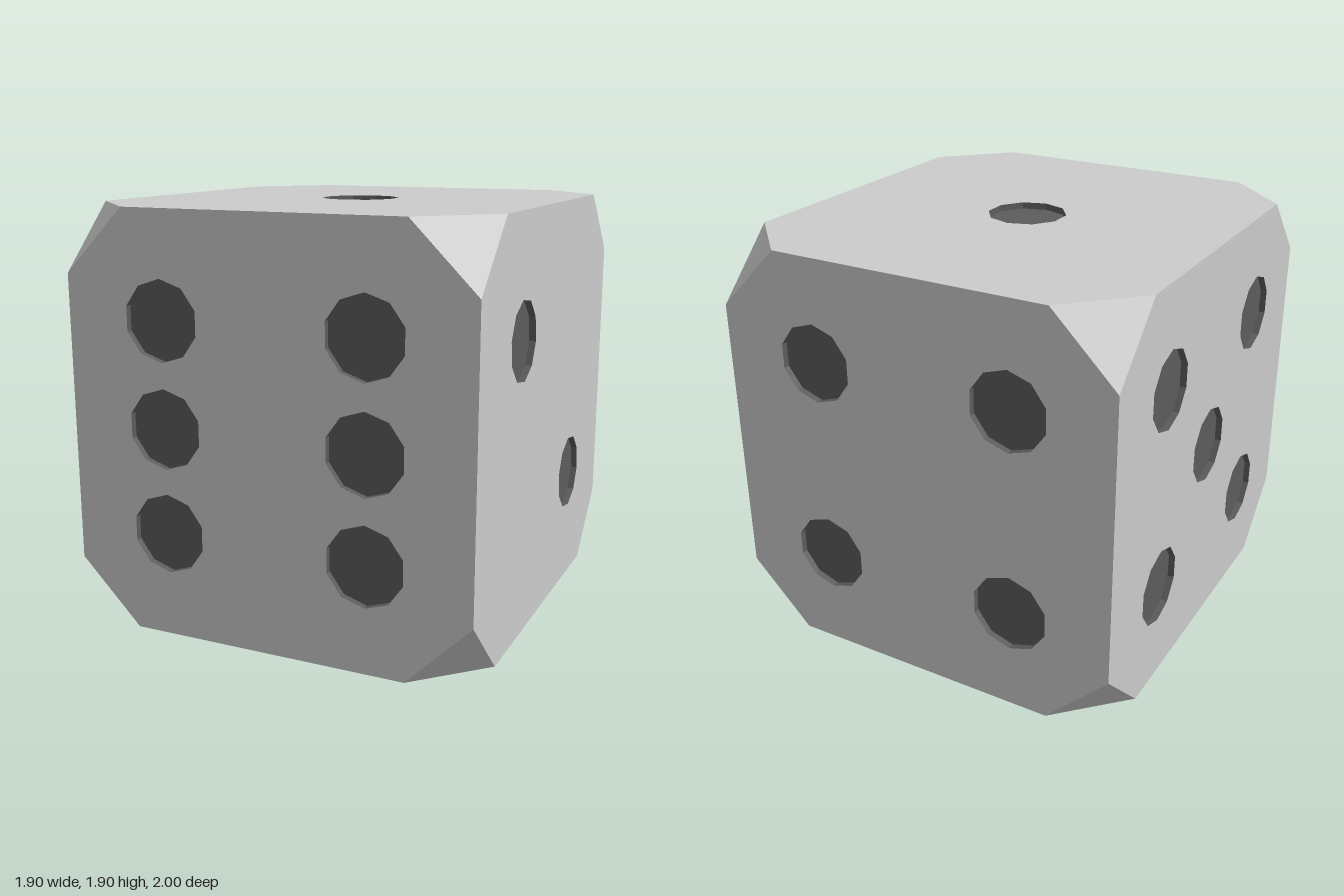
import * as THREE from 'three';

const HX = 0.95, HY = 0.9525, HZ = 1;   // half sizes of the die
const CUT = 0.295;                       // length cut off each edge at a corner
const PIP_R = 0.181, PIP_DEPTH = 0.03, PIP_SIDES = 10;

const X = new THREE.Vector3(1, 0, 0), Y = new THREE.Vector3(0, 1, 0), Z = new THREE.Vector3(0, 0, 1);
const neg = v => v.clone().negate();

// Each side: local axes u and v, half sizes along u, v and outwards, pip centres, pip turn
const SIDES = [
  { name: 'front', u: X, v: Y, h: [HX, HY, HZ],
    pips: [-0.475, 0.475].flatMap(a => [-0.476, 0, 0.476].map(b => [a, b])) },
  { name: 'back', u: neg(X), v: Y, h: [HX, HY, HZ],
    pips: [-0.475, 0.475].flatMap(a => [-0.476, 0.476].map(b => [a, b])) },
  { name: 'right', u: neg(Z), v: Y, h: [HZ, HY, HX],
    pips: [[-0.425, 0.403], [0.425, -0.403]], turn: Math.PI / 4 },
  { name: 'left', u: Z, v: Y, h: [HZ, HY, HX],
    pips: [[0, 0], ...[-0.5, 0.5].flatMap(a => [-0.476, 0.476].map(b => [a, b]))] },
  { name: 'top', u: X, v: neg(Z), h: [HX, HZ, HY], pips: [[0, 0]] },
  { name: 'bottom', u: X, v: Z, h: [HX, HZ, HY],
    pips: [[0.415, -0.44], [0, 0], [-0.415, 0.44]], turn: Math.PI / 4 },
];

// Octagonal side panel with a ten-sided hole for every pip
function panelGeometry(w, h, pips, turn) {
  const a = w - CUT, b = h - CUT;
  const shape = new THREE.Shape(
    [[a, -h], [w, -b], [w, b], [a, h], [-a, h], [-w, b], [-w, -b], [-a, -h]]
      .map(p => new THREE.Vector2(...p)));
  for (const [x, y] of pips) {
    const ring = [];
    for (let i = 0; i < PIP_SIDES; i++) {
      const t = Math.PI / 2 + turn - i * 2 * Math.PI / PIP_SIDES;
      ring.push(new THREE.Vector2(x + PIP_R * Math.cos(t), y + PIP_R * Math.sin(t)));
    }
    shape.holes.push(new THREE.Path(ring));
  }
  return new THREE.ShapeGeometry(shape);
}

// Triangles closing the eight cut corners
function cornerGeometry() {
  const pos = [];
  for (const sx of [-1, 1]) for (const sy of [-1, 1]) for (const sz of [-1, 1]) {
    const p = [sx * (HX - CUT), sy * HY, sz * HZ];
    const q = [sx * HX, sy * (HY - CUT), sz * HZ];
    const r = [sx * HX, sy * HY, sz * (HZ - CUT)];
    pos.push(...p, ...(sx * sy * sz > 0 ? [...q, ...r] : [...r, ...q]));
  }
  const geo = new THREE.BufferGeometry();
  geo.setAttribute('position', new THREE.Float32BufferAttribute(pos, 3));
  geo.computeVertexNormals();
  return geo;
}

export function createModel() {
  const model = new THREE.Group();
  model.name = 'die';
  const bodyMat = new THREE.MeshStandardMaterial({ color: 0xcccccc, flatShading: true });
  const pipMat = new THREE.MeshStandardMaterial({ color: 0x5c5c5c, flatShading: true });

  // Shallow recess: wall and floor, opening towards +z
  const pipGeo = new THREE.LatheGeometry([
    new THREE.Vector2(PIP_R, 0),
    new THREE.Vector2(PIP_R, -PIP_DEPTH),
    new THREE.Vector2(0, -PIP_DEPTH),
  ], PIP_SIDES).rotateX(Math.PI / 2);

  for (const { name, u, v, h, pips, turn = 0 } of SIDES) {
    const side = new THREE.Group();
    side.name = name + 'Side';
    const n = new THREE.Vector3().crossVectors(u, v);
    side.quaternion.setFromRotationMatrix(new THREE.Matrix4().makeBasis(u, v, n));
    side.position.copy(n).multiplyScalar(h[2]).add(new THREE.Vector3(0, HY, 0));

    const panel = new THREE.Mesh(panelGeometry(h[0], h[1], pips, turn), bodyMat);
    panel.name = name + 'Panel';
    side.add(panel);

    for (const [x, y] of pips) {
      const pip = new THREE.Mesh(pipGeo, pipMat);
      pip.name = 'pip';
      pip.position.set(x, y, 0);
      pip.rotation.z = turn;
      side.add(pip);
    }
    model.add(side);
  }

  const corners = new THREE.Mesh(cornerGeometry(), bodyMat);
  corners.name = 'cutCorners';
  corners.position.y = HY;
  model.add(corners);
  return model;
}
